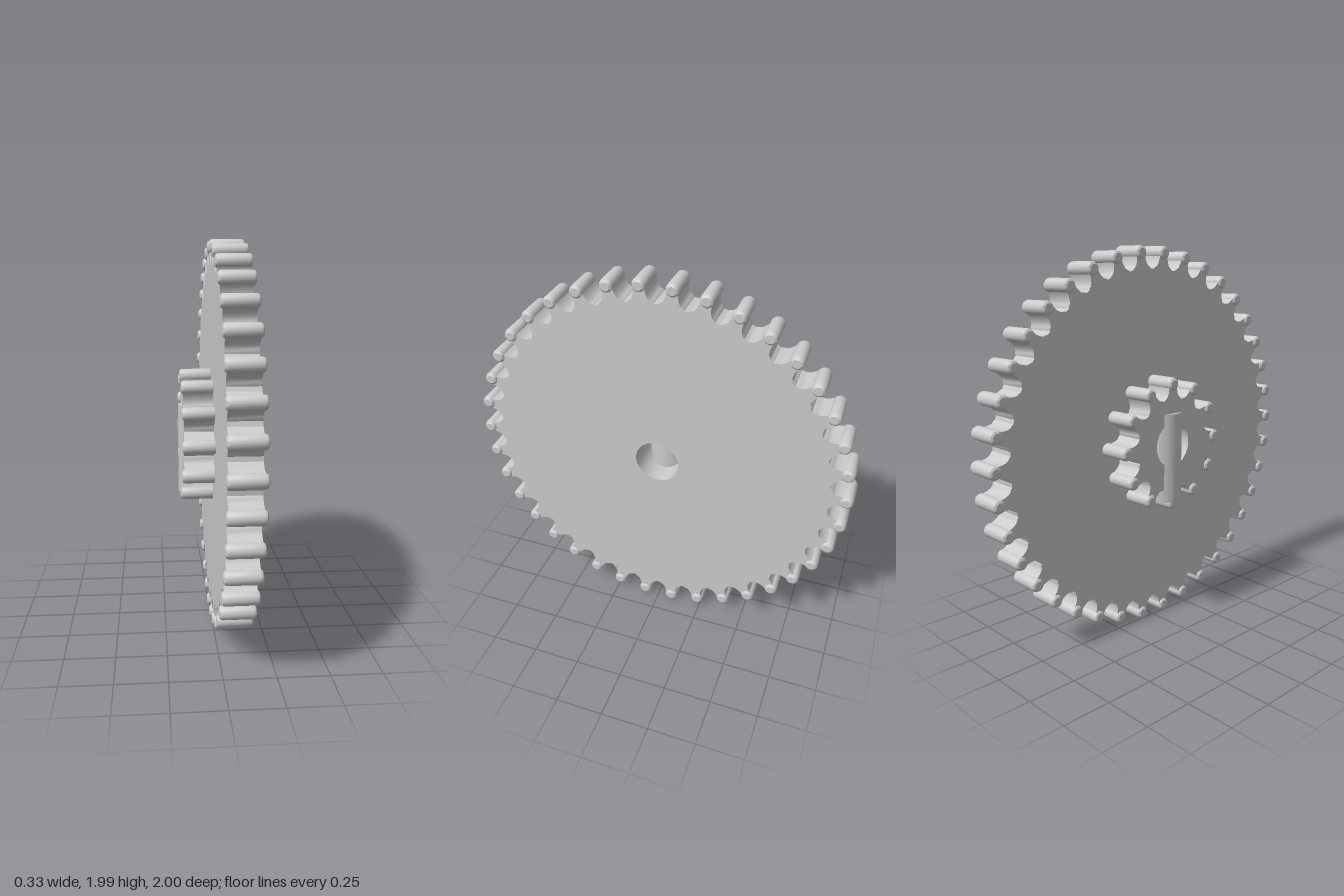
import * as THREE from 'three';
import { toCreasedNormals } from 'three/addons/utils/BufferGeometryUtils.js';

const material = new THREE.MeshStandardMaterial({ color: 0xcccccc });
const CENTRE_Y = 1;
const BORE = 0.115;
const TIP_RADIUS = 0.034;

// half a tooth: [drop below the tip centre, half width], from root to tip
const FLANK = [
  [0.084, 0.062], [0.076, 0.056], [0.070, 0.045], [0.058, 0.037],
  [0.042, 0.031], [0.025, 0.028], [0, 0.028],
];

function addMesh(parent, name, geometry) {
  const mesh = new THREE.Mesh(geometry, material);
  mesh.name = name;
  parent.add(mesh);
  return mesh;
}

// toothed disc with a round bore, extruded along x
function gearBody(teeth, pitchRadius, x0, x1) {
  const points = [];
  for (let i = 0; i < teeth; i++) {
    const a = (i / teeth) * Math.PI * 2;
    const add = ([drop, half], side) => {
      const r = pitchRadius - drop;
      points.push(new THREE.Vector2(
        r * Math.cos(a) - side * half * Math.sin(a),
        r * Math.sin(a) + side * half * Math.cos(a),
      ));
    };
    FLANK.forEach((p) => add(p, -1));
    [...FLANK].reverse().forEach((p) => add(p, 1));
  }
  const shape = new THREE.Shape(points);
  const hole = new THREE.Path();
  hole.absarc(0, 0, BORE, 0, Math.PI * 2, true);
  shape.holes.push(hole);
  const geometry = new THREE.ExtrudeGeometry(shape, {
    depth: x1 - x0, bevelEnabled: false, curveSegments: 32,
  });
  geometry.rotateY(Math.PI / 2).translate(x0, 0, 0);
  return toCreasedNormals(geometry, 0.5);
}

// chamfered roller that forms the rounded tip of a tooth
function tipGeometry(x0, x1) {
  const half = (x1 - x0) / 2 + 0.012;
  const profile = [
    [0, -half], [0.021, -half], [0.030, -half + 0.006], [TIP_RADIUS, -half + 0.016],
    [TIP_RADIUS, half - 0.016], [0.030, half - 0.006], [0.021, half], [0, half],
  ].map(([r, y]) => new THREE.Vector2(r, y));
  const geometry = new THREE.LatheGeometry(profile, 20);
  geometry.rotateZ(Math.PI / 2).translate((x0 + x1) / 2, 0, 0);
  return toCreasedNormals(geometry, 0.45);
}

function makeGear(name, teeth, pitchRadius, x0, x1) {
  const gear = new THREE.Group();
  gear.name = name;
  gear.position.y = CENTRE_Y;
  addMesh(gear, name + 'Body', gearBody(teeth, pitchRadius, x0, x1));
  const tip = tipGeometry(x0, x1);
  for (let i = 0; i < teeth; i++) {
    const a = (i / teeth) * Math.PI * 2;
    addMesh(gear, name + 'ToothTip', tip)
      .position.set(0, pitchRadius * Math.sin(a), pitchRadius * Math.cos(a));
  }
  return gear;
}

export function createModel() {
  const model = new THREE.Group();
  model.name = 'doubleGear';

  // large wheel and the small pinion on its side
  model.add(makeGear('largeGear', 38, 0.966, 0, 0.152));
  model.add(makeGear('smallGear', 12, 0.314, -0.15, 0));

  // upright pin crossing the bore, half sunk in the pinion
  addMesh(model, 'crossPin', new THREE.CylinderGeometry(0.105, 0.105, 0.465, 40))
    .position.set(-0.065, 0.93, 0);

  return model;
}
